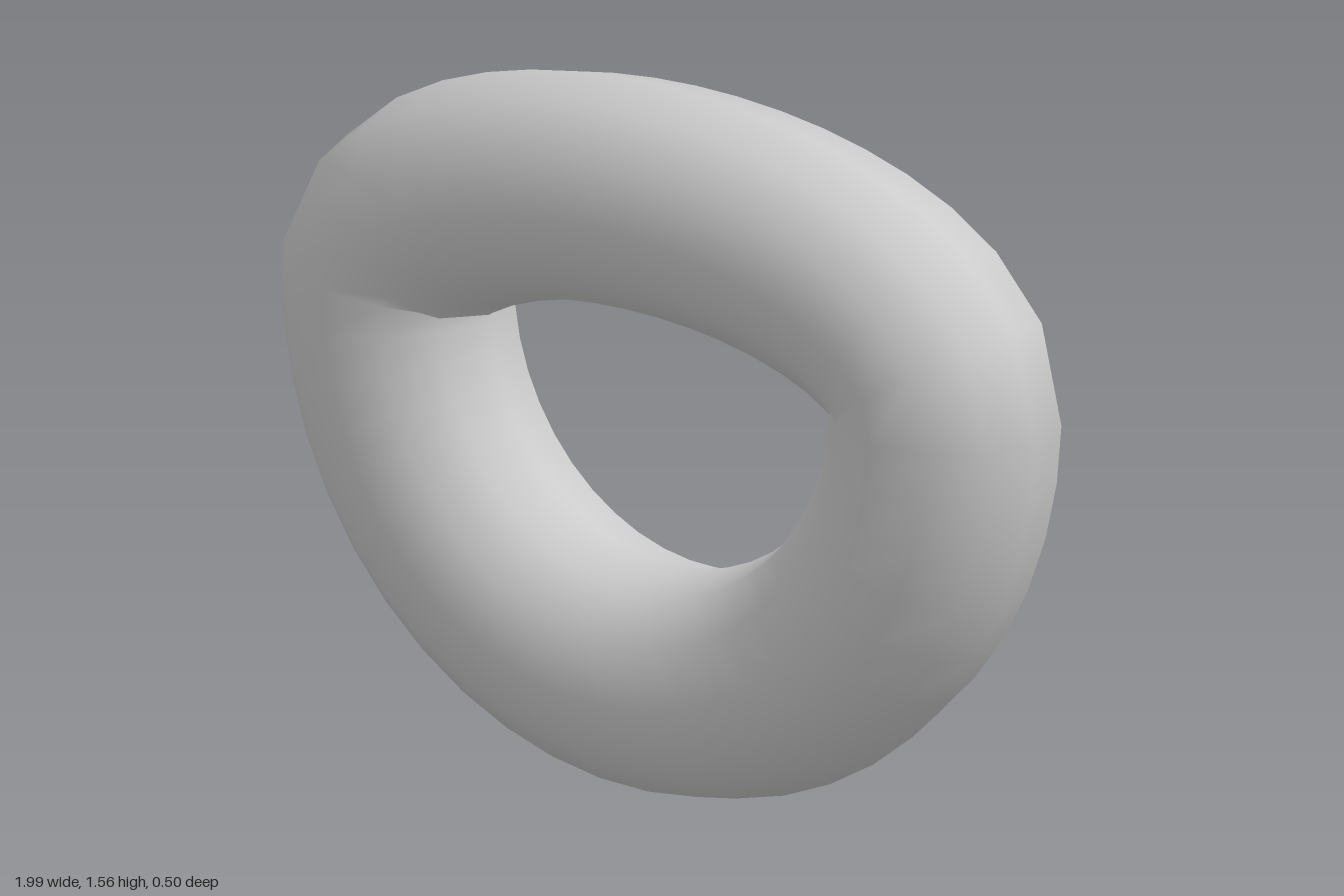
import * as THREE from 'three';

const HALF_WIDTH = 0.75;
const LOWER = 0.75; // depth of the round lower half
const UPPER = 0.31; // rise of the flattened upper half
const TUBE = 0.25;

// Closed centre line: a half circle below, a shallow half ellipse above
class RingPath extends THREE.Curve {
  getPoint(t, target = new THREE.Vector3()) {
    const a = t * Math.PI * 2 - 0.03;
    const s = Math.sin(a);
    return target.set(HALF_WIDTH * Math.cos(a), 1 + s * (s > 0 ? UPPER : LOWER), 0);
  }
}

export function createModel() {
  const group = new THREE.Group();
  group.name = 'flattenedRing';

  const path = new RingPath();
  path.arcLengthDivisions = 1000;

  // Twelve-sided round tube swept evenly along the centre line
  const ring = new THREE.Mesh(
    new THREE.TubeGeometry(path, 40, TUBE, 12, true),
    new THREE.MeshStandardMaterial({ color: 0xcccccc })
  );
  ring.name = 'ring';
  group.add(ring);
  return group;
}
